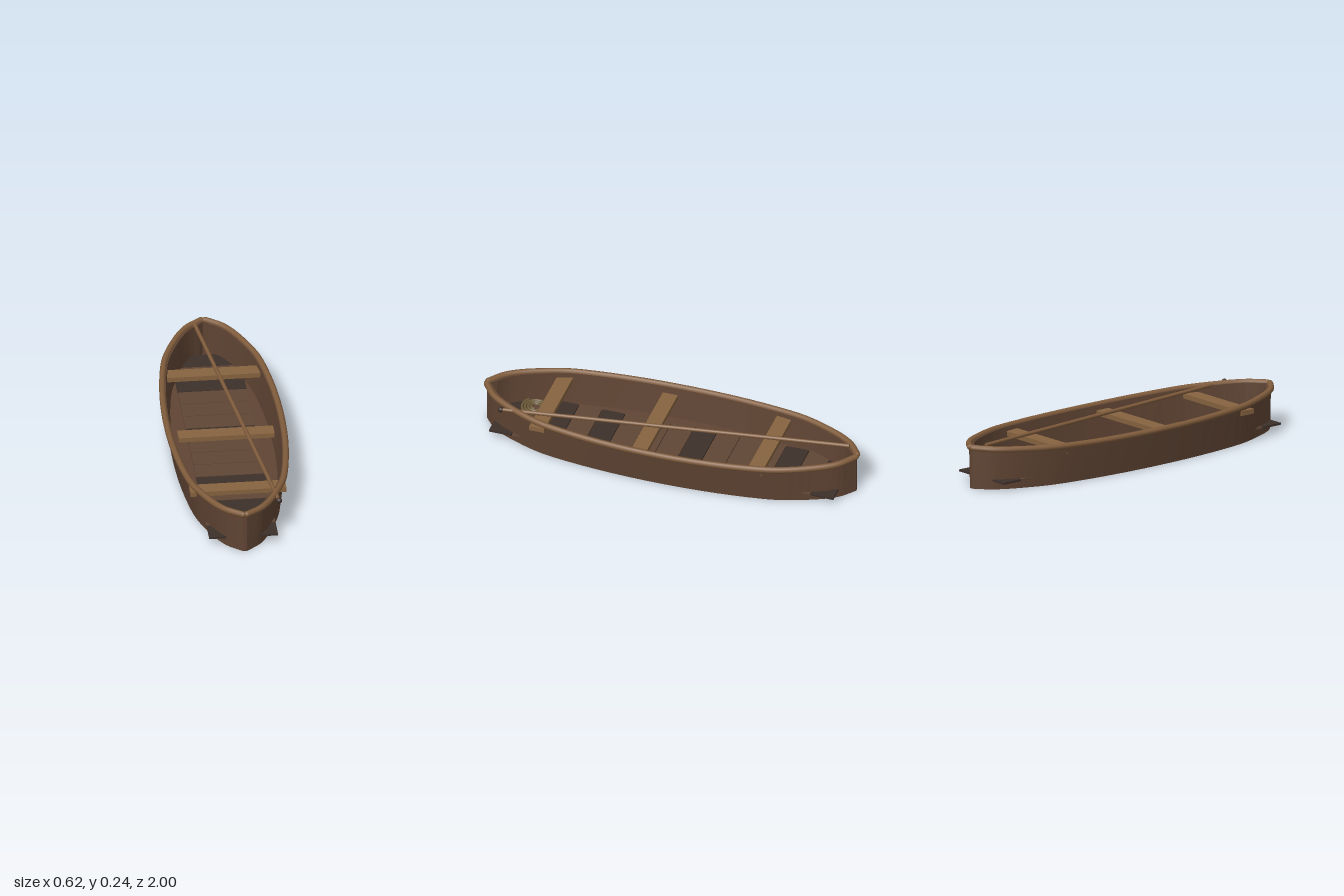
import * as THREE from 'three';

const mat = (color, flatShading = false) => new THREE.MeshStandardMaterial({ color, flatShading });
const hullMat = mat(0x5f4433, true);
const railMat = mat(0x805c3c);
const seatMat = mat(0x86633f);
const slatMat = mat(0x604636);
const darkMat = mat(0x3d302a);
const ropeMat = mat(0x6e5c3a);

// half the plan outline as [half width, z], bow half mirrored to the stern
const half = [[0.293, 0], [0.288, 0.2], [0.271, 0.4], [0.24, 0.6], [0.213, 0.69],
  [0.166, 0.8], [0.132, 0.865], [0.088, 0.925], [0.01, 0.985]];
const plan = [...half.slice(1).reverse().map(([x, z]) => [x, -z]), ...half];
const planCurve = new THREE.CatmullRomCurve3(plan.map(([x, z]) => new THREE.Vector3(x, 0, z)));
const side = planCurve.getPoints(40);
const sheer = z => 0.195 + 0.02 * z * z;

function add(group, name, geometry, material, x = 0, y = 0, z = 0) {
  const mesh = new THREE.Mesh(geometry, material);
  mesh.name = name;
  mesh.position.set(x, y, z);
  group.add(mesh);
  return mesh;
}

// closed shell: underside, outer wall, rim, inner wall, inner floor
function hullGeometry() {
  const loop = [...side, ...side.slice().reverse().map(p => new THREE.Vector3(-p.x, 0, p.z))];
  const inset = (p, s) => [Math.sign(p.x) * Math.max(Math.abs(p.x) * s - 0.018, 0.003), p.z * 0.98];
  const levels = [
    () => [0, 0, 0],
    p => [p.x * 0.905, 0, p.z],
    p => [p.x, sheer(p.z), p.z],
    p => { const [x, z] = inset(p, 1); return [x, sheer(p.z), z]; },
    p => { const [x, z] = inset(p, 0.92); return [x, 0.03, z]; },
    () => [0, 0.03, 0],
  ];
  const n = loop.length;
  const pos = levels.flatMap(f => loop.flatMap(p => f(p)));
  const index = [];
  for (let k = 0; k < levels.length - 1; k++) {
    for (let j = 0; j < n; j++) {
      const a = k * n + j, b = k * n + (j + 1) % n;
      index.push(a, a + n, b, b, a + n, b + n);
    }
  }
  const g = new THREE.BufferGeometry();
  g.setAttribute('position', new THREE.Float32BufferAttribute(pos, 3));
  g.setIndex(index);
  const flat = g.toNonIndexed();
  flat.computeVertexNormals();
  return flat;
}

export function createModel() {
  const boat = new THREE.Group();
  boat.name = 'rowingBoat';
  add(boat, 'hull', hullGeometry(), hullMat);

  // rounded rail along each side, with a ball joint at either end
  for (const s of [1, -1]) {
    const path = new THREE.CatmullRomCurve3(side.map(p => new THREE.Vector3(p.x * s, sheer(p.z), p.z)));
    add(boat, s > 0 ? 'leftGunwale' : 'rightGunwale', new THREE.TubeGeometry(path, 90, 0.016, 10), railMat);
    for (const e of [1, -1]) {
      add(boat, 'gunwaleEnd', new THREE.SphereGeometry(0.016, 12, 8), railMat, 0.01 * s, sheer(0.985), 0.984 * e);
    }
  }

  // floor slats, some of darker wood
  const pitch = 1.84 / 15;
  for (let k = 0; k < 15; k++) {
    const dark = [0, 2, 6, 10, 12, 14].includes(k);
    add(boat, 'floorSlat', new THREE.BoxGeometry(0.35, 0.01, pitch - 0.004),
      dark ? darkMat : slatMat, 0, 0.047, -0.92 + pitch * (k + 0.5));
  }

  // benches
  for (const z of [-0.52, 0.09, 0.64]) {
    add(boat, 'seat', new THREE.BoxGeometry(0.488, 0.025, 0.08), seatMat, 0, 0.168, z);
  }

  // long pole lying across the boat, with a dark knob
  const tip = new THREE.Vector3(-0.05, 0.228, -0.93), knob = new THREE.Vector3(0.188, 0.206, 0.85);
  const dir = knob.clone().sub(tip);
  const pole = add(boat, 'pole', new THREE.CylinderGeometry(0.01, 0.01, dir.length(), 10), railMat);
  pole.position.copy(tip).add(knob).multiplyScalar(0.5);
  pole.quaternion.setFromUnitVectors(new THREE.Vector3(0, 1, 0), dir.normalize());
  add(boat, 'poleKnob', new THREE.SphereGeometry(0.015, 14, 10), darkMat, knob.x, knob.y, knob.z);

  // coiled rope with a loose end
  const coil = [];
  for (let i = 0; i <= 72; i++) {
    const a = i / 72 * Math.PI * 6.5, r = 0.018 + 0.05 * i / 72;
    coil.push(new THREE.Vector3(Math.cos(a) * r, 0, Math.sin(a) * r));
  }
  coil.push(new THREE.Vector3(-0.03, 0, 0.063), new THREE.Vector3(-0.05, 0, 0.052));
  add(boat, 'ropeCoil', new THREE.TubeGeometry(new THREE.CatmullRomCurve3(coil), 160, 0.007, 7),
    ropeMat, -0.077, 0.06, 0.755);
  return boat;
}
